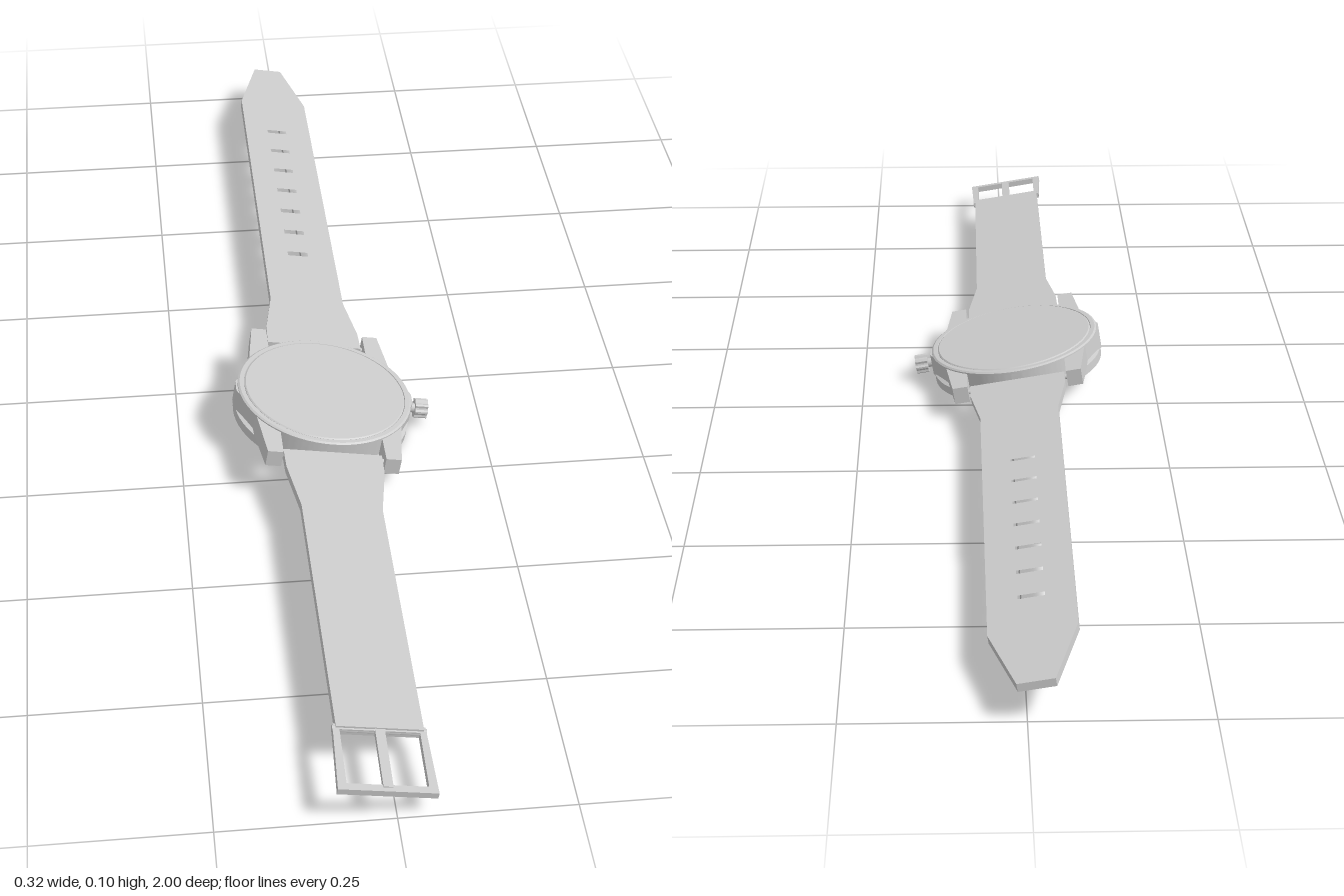
import * as THREE from 'three';
import { toCreasedNormals } from 'three/addons/utils/BufferGeometryUtils.js';

const material = new THREE.MeshStandardMaterial({ color: 0xcccccc });
const CASE_Z = 0.117;

function add(parent, name, geometry, x = 0, y = 0, z = 0) {
  const mesh = new THREE.Mesh(geometry, material);
  mesh.name = name;
  mesh.position.set(x, y, z);
  parent.add(mesh);
  return mesh;
}

function outline(points) {
  return new THREE.Shape(points.map(([x, z]) => new THREE.Vector2(x, z)));
}

// Symmetric outline from [halfWidth, z] pairs
function mirrored(pairs) {
  return outline([...pairs, ...pairs.map(([x, z]) => [-x, z]).reverse()]);
}

function rectHole(shape, cx, cz, w, d) {
  const x = w / 2, z = d / 2;
  shape.holes.push(new THREE.Path([[-x, -z], [-x, z], [x, z], [x, -z]]
    .map(([a, b]) => new THREE.Vector2(cx + a, cz + b))));
}

// Flat plate drawn in x/z, its top at y = 0
function plate(shape, depth) {
  return new THREE.ExtrudeGeometry(shape, { depth, bevelEnabled: false, curveSegments: 24 })
    .rotateX(Math.PI / 2);
}

function lathe(points) {
  return toCreasedNormals(new THREE.LatheGeometry(
    points.map(([r, y]) => new THREE.Vector2(r, y)), 64), 0.5);
}

function createCase(watch) {
  const head = new THREE.Group();
  head.name = 'watchHead';
  head.position.z = CASE_Z;
  watch.add(head);

  // Middle case with four lugs and curved notches between them
  const side = [[0.108, -0.17], [0.12, -0.07], [0.147, -0.012], [0.147, 0.012], [0.12, 0.07], [0.108, 0.17]];
  const r = 0.142, inner = 0.083;
  const a = Math.acos(inner / r);
  const body = outline(side);
  body.lineTo(inner, 0.17);
  body.absarc(0, 0, r, a, Math.PI - a, false);
  body.lineTo(-inner, 0.17);
  [...side].reverse().forEach(([x, z]) => body.lineTo(-x, z));
  body.lineTo(-inner, -0.17);
  body.absarc(0, 0, r, Math.PI + a, 2 * Math.PI - a, false);
  body.lineTo(inner, -0.17);
  const geometry = plate(body, 0.036);
  // Lug tips sweep up underneath
  const p = geometry.attributes.position;
  for (let i = 0; i < p.count; i++) {
    if (p.getY(i) < -0.03 && Math.abs(p.getZ(i)) > 0.16) p.setY(i, -0.028);
  }
  add(head, 'caseWithLugs', toCreasedNormals(geometry, 0.3), 0, 0.022, 0);

  add(head, 'caseBack', lathe([[0, -0.0255], [0.132, -0.0255], [0.134, -0.0265],
    [0.145, -0.0265], [0.145, -0.012], [0.135, -0.008]]));
  add(head, 'bezel', lathe([[0.144, 0.02], [0.144, 0.024], [0.141, 0.026], [0.134, 0.026], [0.133, 0.0235]]));
  add(head, 'crystal', lathe([[0.133, 0.022], [0.133, 0.0255], [0.131, 0.027], [0, 0.0272]]));

  // Spring bars
  for (const s of [-1, 1]) {
    add(head, 'springBar', new THREE.CylinderGeometry(0.004, 0.004, 0.17, 10).rotateZ(Math.PI / 2),
      0, 0.005, s * 0.154);
  }

  // Ridged crown on its stem
  add(head, 'crownStem', new THREE.CylinderGeometry(0.008, 0.008, 0.03, 12).rotateZ(Math.PI / 2), 0.147, 0.004, 0);
  const gear = [];
  for (let i = 0; i < 32; i++) {
    const t = i / 32 * Math.PI * 2, k = i % 4 < 2 ? 0.0165 : 0.0138;
    gear.push([k * Math.cos(t), k * Math.sin(t)]);
  }
  add(head, 'crown', plate(outline(gear), 0.021).rotateZ(-Math.PI / 2), 0.175, 0.004, 0);
}

function createStraps(watch) {
  const top = 0.012, thick = 0.012;

  // Long strap with pointed tip and seven holes, with a raised lining below
  const long = mirrored([[0.08, -0.031], [0.079, -0.075], [0.064, -0.165], [0.0625, -0.865], [0.026, -1]]);
  const longPad = mirrored([[0.03, -0.13], [0.03, -0.85]]);
  for (let i = 0; i < 7; i++) {
    const z = -0.325 - i * 0.0728;
    rectHole(long, 0, z, 0.04, 0.031);
    rectHole(longPad, 0, z, 0.04, 0.031);
  }
  add(watch, 'longStrap', plate(long, thick), 0, top, 0);
  add(watch, 'longStrapLining', plate(longPad, 0.003), 0, top - thick + 0.0005, 0);

  // Short strap
  const short = mirrored([[0.08, 0.265], [0.079, 0.31], [0.064, 0.405], [0.0625, 0.888]]);
  add(watch, 'shortStrap', plate(short, thick), 0, top, 0);
  add(watch, 'shortStrapLining', plate(mirrored([[0.03, 0.37], [0.03, 0.8]]), 0.003),
    0, top - thick + 0.0005, 0);
}

function createBuckle(watch) {
  const buckle = new THREE.Group();
  buckle.name = 'buckle';
  buckle.position.set(0, 0.009, 0.88);
  buckle.rotation.x = 0.05;
  watch.add(buckle);
  const frame = mirrored([[0.066, 0], [0.07, 0.12]]);
  rectHole(frame, 0, 0.0595, 0.114, 0.098);
  add(buckle, 'buckleFrame', plate(frame, 0.01));
  add(buckle, 'buckleTongue', new THREE.BoxGeometry(0.014, 0.007, 0.116), 0, -0.002, 0.055);
  add(buckle, 'buckleBar', new THREE.CylinderGeometry(0.005, 0.005, 0.134, 10).rotateZ(Math.PI / 2), 0, -0.004, 0.006);
}

export function createModel() {
  const model = new THREE.Group();
  model.name = 'wristwatch';
  const watch = new THREE.Group();
  watch.name = 'tiltedWatch';
  // The watch lies rolled slightly to one side
  watch.rotation.z = -0.163;
  watch.position.set(-0.013, 0.05, 0);
  model.add(watch);
  createCase(watch);
  createStraps(watch);
  createBuckle(watch);
  return model;
}
